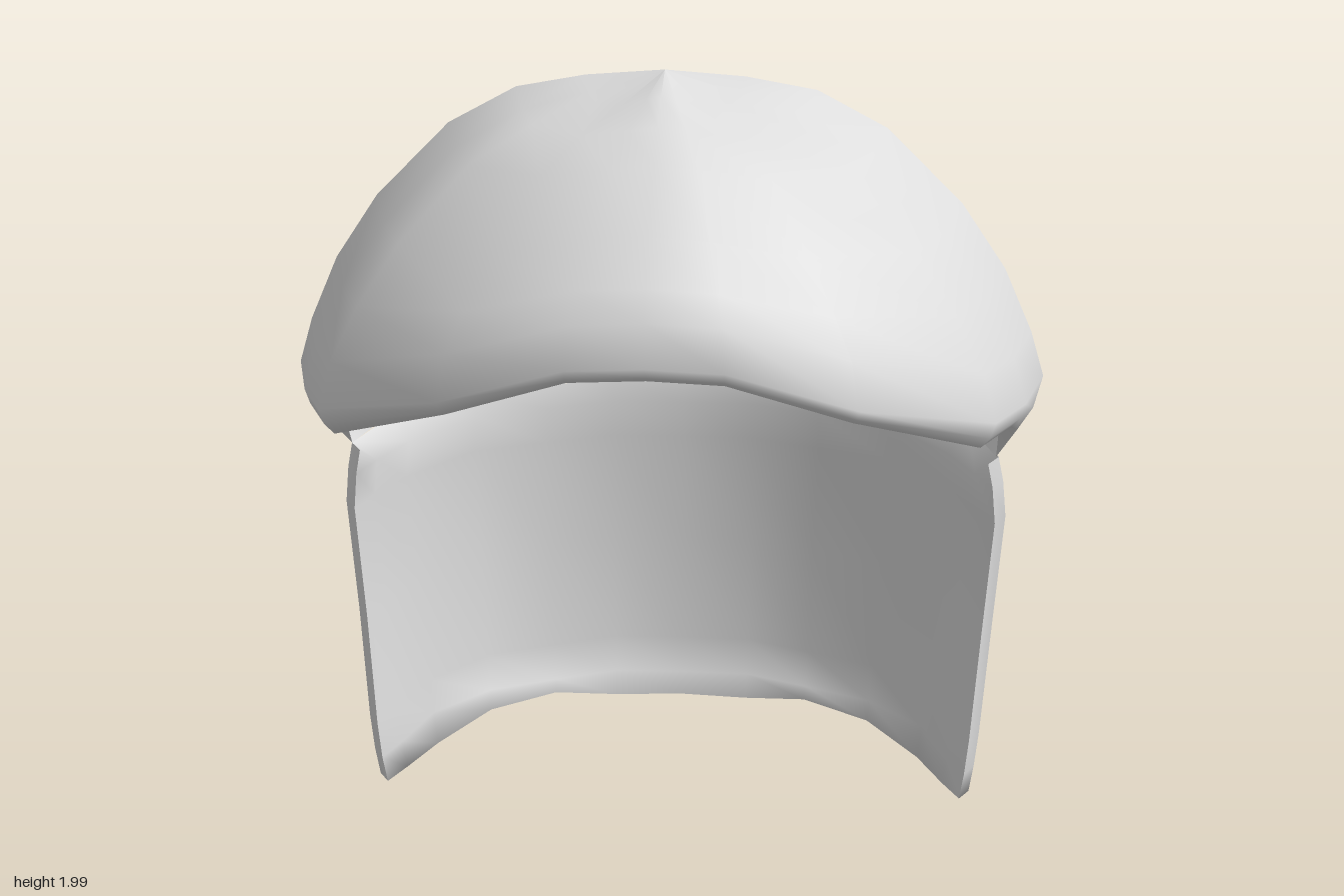
import * as THREE from 'three';

// Half outlines from front centre round the +x side to back centre: [x, y, z]
const WIDEST = [
  [0, 1.53, 0.755], [0.16, 1.53, 0.775], [0.43, 1.43, 0.70], [0.73, 1.32, 0.46],
  [0.82, 1.27, 0.2], [0.885, 1.25, -0.05], [0.87, 1.2, -0.2], [0.82, 1.17, -0.39],
  [0.57, 1.15, -0.62], [0.38, 1.14, -0.69], [0.2, 1.12, -0.78], [0, 1.12, -0.785],
];
const LIP = [
  [0, 1.49, 0.71], [0.16, 1.49, 0.73], [0.42, 1.39, 0.66], [0.70, 1.26, 0.45],
  [0.79, 1.21, 0.19], [0.83, 1.12, -0.03], [0.80, 0.99, -0.18], [0.76, 0.97, -0.41],
  [0.57, 0.97, -0.605], [0.38, 0.97, -0.68], [0.2, 0.97, -0.745], [0, 0.97, -0.75],
];
const CROWN = [0, 1.99, 0.08];

// Dome profile: [radial fraction, height at front, side, back]
const PROFILE = [
  [0, 1, 1, 1], [0.2, 0.935, 0.975, 0.925], [0.38, 0.85, 0.93, 0.85], [0.56, 0.74, 0.81, 0.745],
  [0.76, 0.49, 0.57, 0.58], [0.88, 0.31, 0.36, 0.36], [0.96, 0.19, 0.15, 0.16], [1, 0, 0, 0],
];

// Curtain outline from its front edge to back centre: [x, z], with hem heights
const PLAN = [
  [0.79, -0.19], [0.82, -0.24], [0.76, -0.41], [0.57, -0.605], [0.38, -0.68], [0.2, -0.745], [0, -0.75],
];
const HEM = [0.02, 0.015, 0, 0.06, 0.08, 0.045, 0.05];
// Curtain rows: [y, x scale, z offset of the back, z offset of the front edge]
const CURTAIN = [
  [0.97, 0.99, 0, 0.01], [0.9, 1.01, -0.02, -0.005], [0.8, 1.025, -0.02, -0.015],
  [0.5, 1.005, -0.012, -0.015], [0.2, 0.98, 0.01, 0.025], [0.1, 0.97, 0.03, 0.025],
];

const lerp = THREE.MathUtils.lerp;
const mirror = ([x, y, z]) => [-x, y, z];

// Completes a half row with its mirror image
function fullRow(half, closed) {
  const other = half.slice(closed ? 1 : 0, -1).reverse().map(mirror);
  return [...half, ...other];
}

// Smooth surface through rows of points
function skin(rows, closed, material, name) {
  const n = rows[0].length;
  const index = [];
  for (let i = 0; i < rows.length - 1; i++) {
    for (let j = 0; j < (closed ? n : n - 1); j++) {
      const a = i * n + j, b = i * n + (j + 1) % n;
      index.push(a, a + n, b + n, a, b + n, b);
    }
  }
  const geometry = new THREE.BufferGeometry();
  geometry.setAttribute('position', new THREE.Float32BufferAttribute(rows.flat(2), 3));
  geometry.setIndex(index);
  geometry.computeVertexNormals();
  const mesh = new THREE.Mesh(geometry, material);
  mesh.name = name;
  return mesh;
}

export function createModel() {
  const group = new THREE.Group();
  group.name = 'hair';
  const grey = new THREE.MeshStandardMaterial({ color: 0xdddddd, side: THREE.DoubleSide });
  grey.name = 'light grey';

  // Crown and fringe: dome rows, slightly flattened on the diagonals
  const capRows = PROFILE.map(([f, front, side, back]) => WIDEST.map(([x, y, z]) => {
    const s = Math.abs(x) / 0.885;
    const dip = f > 0 ? 0.1 * s * Math.sqrt(1 - s * s) : 0;
    const g = lerp(z > 0 ? front : back, side, s * s) * (1 - dip);
    return [x * f, lerp(y, CROWN[1], g), lerp(CROWN[2], z, f)];
  }));
  // Rounded lip turning inwards under the fringe
  capRows.push(WIDEST.map(([x, y, z], i) => {
    const [lx, ly, lz] = LIP[i];
    return [lerp(x, lx, 0.35), lerp(y, ly, 0.6), lerp(z, lz, 0.35)];
  }));
  capRows.push(LIP);
  capRows.push(LIP.map(([x, y, z], i) => {
    const turn = i < 6 ? 1 : 0;
    return [x * (1 - 0.05 * turn), y + 0.03 * turn, z - 0.06 * turn * Math.max(z, 0)];
  }));
  group.add(skin(capRows.map((r) => fullRow(r, true)), true, grey, 'crownAndFringe'));

  // Back curtain: outer wall down to a wavy hem, then inner wall back up
  const outer = CURTAIN.map(([y, sx, dz, edge]) =>
    PLAN.map(([x, z], j) => [x * sx, y, z + (j < 2 ? edge : j === 2 ? 0 : dz)]));
  outer.push(PLAN.map(([x, z], j) => [x * 0.96, HEM[j], z + (j < 2 ? 0.01 : j === 2 ? -0.01 : 0.07)]));
  const inner = outer.slice(1).reverse().map((row) => row.map(([x, y, z], j) => {
    if (j === 0) return [x, y, z];
    return j < 3 ? [x - 0.07, y + 0.01, z + (j === 1 ? -0.02 : 0.01)] : [x * 0.955, y + 0.01, z + 0.035];
  }));
  const curtainRows = [...outer, ...inner, outer[0]].map((r) => fullRow(r, false));
  group.add(skin(curtainRows, false, grey, 'backCurtain'));

  return group;
}
